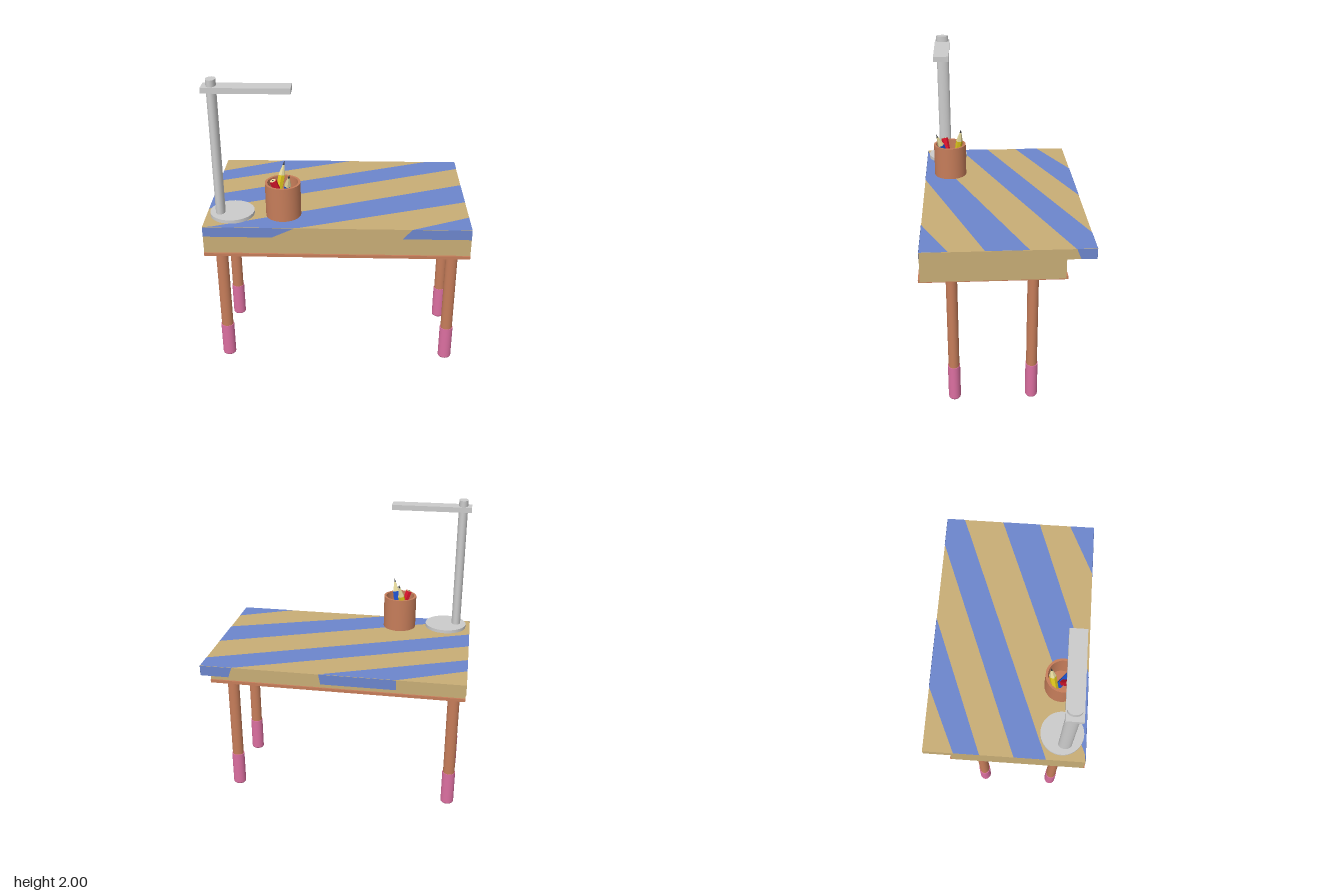
import * as THREE from 'three';

const mat = (color, extra = {}) => new THREE.MeshStandardMaterial({ color, ...extra });
const tan = mat(0xc8ad76), brown = mat(0xc67d5a), pink = mat(0xdb6fa0), grey = mat(0xcccccc);
const blue = mat(0x6c86cc, { side: THREE.DoubleSide });
const wood = mat(0xe2d69a, { flatShading: true }), lead = mat(0x3a3a38, { flatShading: true });

function add(parent, name, geometry, material, x = 0, y = 0, z = 0) {
  const mesh = new THREE.Mesh(geometry, material);
  mesh.name = name;
  mesh.position.set(x, y, z);
  parent.add(mesh);
  return mesh;
}

// Box given by its lower and upper limits
function block(parent, name, material, [x0, x1], [y0, y1], [z0, z1]) {
  return add(parent, name, new THREE.BoxGeometry(x1 - x0, y1 - y0, z1 - z0), material,
    (x0 + x1) / 2, (y0 + y1) / 2, (z0 + z1) / 2);
}

// Flat polygon in its own plane
const patch = (points) => new THREE.ShapeGeometry(new THREE.Shape(points.map((p) => new THREE.Vector2(...p))));

// Hexagonal pencil from its lower end to its upper end
function pencil(parent, name, color, from, to, sharpened) {
  const a = new THREE.Vector3(...from), dir = new THREE.Vector3(...to).sub(a);
  const length = dir.length(), r = 0.023, cone = sharpened ? 0.09 : 0;
  const g = new THREE.Group();
  g.name = name;
  g.position.copy(a);
  g.quaternion.setFromUnitVectors(new THREE.Vector3(0, 1, 0), dir.normalize());
  const body = length - cone;
  add(g, name + 'Body', new THREE.CylinderGeometry(r, r, body, 6), mat(color, { flatShading: true }), 0, body / 2, 0);
  if (sharpened) {
    add(g, name + 'Wood', new THREE.CylinderGeometry(r * 0.28, r, cone * 0.72, 6), wood, 0, body + cone * 0.36, 0);
    add(g, name + 'Lead', new THREE.ConeGeometry(r * 0.28, cone * 0.28, 6), lead, 0, body + cone * 0.86, 0);
  } else {
    add(g, name + 'End', new THREE.CylinderGeometry(r * 0.85, r * 0.85, 0.004, 6), wood, 0, body, 0);
    add(g, name + 'Lead', new THREE.CylinderGeometry(r * 0.28, r * 0.28, 0.006, 6), lead, 0, body, 0);
  }
  parent.add(g);
}

export function createModel() {
  const model = new THREE.Group();
  model.name = 'desk';
  const W = 0.832, front = 0.512, back = -0.523, top = 1.094, under = 1.028, gap = 0.0015;

  // Desk top overhanging the drawer body, on a thin base board
  block(model, 'deskTop', tan, [-W, W], [under, top], [back, front]);
  block(model, 'deskBody', tan, [-W, W], [0.9, under], [-0.347, front]);
  block(model, 'baseBoard', brown, [-W + 0.001, W - 0.001], [0.895, 0.915], [-0.358, 0.523]);
  add(model, 'drawerKnob', new THREE.SphereGeometry(0.033, 24, 16), mat(0xd8c030), 0, 0.968, -0.334);

  // Slanted stripes on the desk top, as [x, z]
  const topStripes = [
    [[-W, -0.326], [-0.408, back], [0.073, back], [-W, -0.16]],
    [[-W, 0.058], [0.627, back], [W, back], [W, -0.4], [-W, 0.263]],
    [[-W, front], [-0.78, front - 0.006], [W, -0.13], [W, 0.13], [-0.246, front]],
    [[W, 0.344], [W, front], [0.472, front]],
  ];
  topStripes.forEach((s) => {
    const geo = patch(s.map(([x, z]) => [x, -z])).rotateX(-Math.PI / 2);
    add(model, 'topStripe', geo, blue, 0, top + gap, 0);
  });

  // The same stripes carried over the edges, as [x or z, y]
  const frontStripes = [
    [[-W, under], [-0.403, under], [-0.262, top], [-W, top]],
    [[0.407, under], [W, under], [W, top], [0.466, top]],
  ];
  frontStripes.forEach((s) => add(model, 'frontStripe', patch(s), blue, 0, 0, front + gap));
  const backStripes = [
    [[-0.408, under], [0.06, under], [0.073, top], [-0.408, top]],
    [[0.65, under], [W, under], [W, top], [0.627, top]],
  ];
  backStripes.forEach((s) => add(model, 'backStripe', patch(s), blue, 0, 0, back - gap));
  const side = [[-0.43, under], [-0.403, top], [back, top], [back, under]].map(([z, y]) => [-z, y]);
  add(model, 'sideStripe', patch(side).rotateY(Math.PI / 2), blue, W + gap, 0, 0);

  // Slightly oval legs with thicker feet
  const footProfile = [[0, 0], [0.038, 0], [0.042, 0.004], [0.044, 0.01], [0.044, 0.01], [0.044, 0.242], [0.044, 0.242], [0, 0.242]]
    .map((p) => new THREE.Vector2(...p));
  for (const x of [-0.758, 0.743]) {
    for (const z of [0.33, -0.16]) {
      add(model, 'leg', new THREE.CylinderGeometry(0.039, 0.039, 0.68, 32), brown, x, 0.56, z).scale.z = 0.88;
      add(model, 'foot', new THREE.LatheGeometry(footProfile, 32), pink, x, 0, z).scale.z = 0.88;
    }
  }

  // Lamp: round base, oval pole, arm hollow underneath
  const lamp = new THREE.Group();
  lamp.name = 'lamp';
  model.add(lamp);
  add(lamp, 'lampBase', new THREE.CylinderGeometry(0.139, 0.139, 0.022, 40), grey, -0.663, 1.123, 0.356);
  add(lamp, 'lampPole', new THREE.CylinderGeometry(0.03, 0.03, 0.87, 32), grey, -0.734, 1.565, 0.376).scale.z = 1.43;
  const ax = [-0.79, -0.266], az = [0.326, 0.429], rim = 0.01;
  block(lamp, 'lampArm', grey, ax, [1.945, 1.96], az);
  for (const s of [0, 1]) {
    const x = s ? ax[1] - rim : ax[0], z = s ? az[1] - rim : az[0];
    block(lamp, 'armRim', grey, [x, x + rim], [1.926, 1.945], az);
    block(lamp, 'armRim', grey, ax, [1.926, 1.945], [z, z + rim]);
  }

  // Pencil cup
  const cup = new THREE.Group();
  cup.name = 'pencilCup';
  model.add(cup);
  const cx = -0.341, cz = 0.336, y0 = 1.103, y1 = 1.325, r = 0.111, ri = 0.096;
  const rings = [[0, y0], [r, y0], [r, y1], [ri, y1], [ri, y0 + 0.015], [0, y0 + 0.015]];
  for (let i = 0; i < rings.length - 1; i++) {
    const pair = [rings[i], rings[i + 1]].map((p) => new THREE.Vector2(...p));
    add(cup, 'cupWall', new THREE.LatheGeometry(pair, 40), brown, cx, 0, cz);
  }

  // Pencils leaning in the cup
  pencil(cup, 'yellowPencil', 0xe0c81c, [-0.395, 1.13, 0.3], [-0.335, 1.432, 0.256], true);
  pencil(cup, 'bluePencil', 0x1c50c8, [-0.347, 1.1, 0.315], [-0.289, 1.415, 0.428], true);
  pencil(cup, 'redPencil', 0xd8142c, [-0.325, 1.125, 0.335], [-0.397, 1.35, 0.372], false);
  return model;
}
